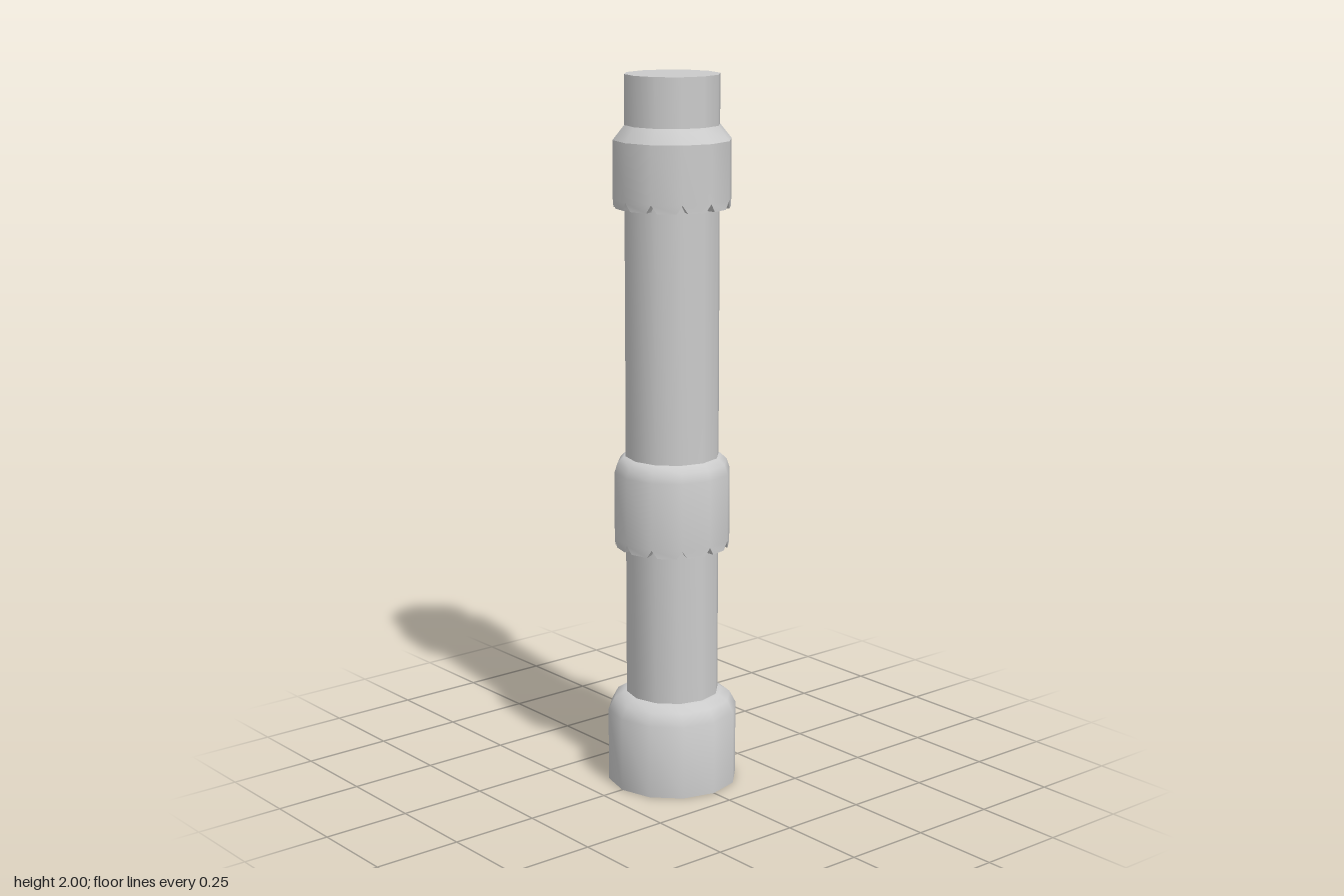
import * as THREE from 'three';
import { mergeGeometries, toCreasedNormals } from 'three/addons/utils/BufferGeometryUtils.js';

const SIDES = 12;
const POLE_R = 0.131;
const COLLAR_R = 0.163;
const material = new THREE.MeshStandardMaterial({ color: 0xcccccc });

// Twelve-sided turned shape; the profile runs from bottom to top as [radius, y].
function turned(profile) {
  const points = profile.map(([r, y]) => new THREE.Vector2(r, y));
  const geometry = new THREE.LatheGeometry(points, SIDES).toNonIndexed();
  geometry.deleteAttribute('uv');
  geometry.deleteAttribute('normal');
  return geometry;
}

function part(name, geometry, crease) {
  const mesh = new THREE.Mesh(toCreasedNormals(geometry, crease), material);
  mesh.name = name;
  return mesh;
}

// Ring of tapered teeth, one per side, leaving V-shaped notches at the corners.
function teeth(bottom, top) {
  const positions = [];
  const quad = (a, b, c, d) => {
    for (const p of [a, b, c, a, c, d]) positions.push(p.x, p.y, p.z);
  };
  const corner = (i, r, y) => {
    const angle = (i / SIDES) * Math.PI * 2;
    return new THREE.Vector3(Math.sin(angle) * r, y, Math.cos(angle) * r);
  };
  for (let i = 0; i < SIDES; i++) {
    const row = (r) => {
      const low0 = corner(i, r, bottom), low1 = corner(i + 1, r, bottom);
      return [
        corner(i, r, top), low0.clone().lerp(low1, 0.19),
        low0.clone().lerp(low1, 0.81), corner(i + 1, r, top),
      ];
    };
    const outer = row(COLLAR_R), inner = row(POLE_R - 0.005);
    quad(outer[0], outer[1], outer[2], outer[3]);
    for (let k = 0; k < 3; k++) quad(outer[k], inner[k], inner[k + 1], outer[k + 1]);
  }
  const geometry = new THREE.BufferGeometry();
  geometry.setAttribute('position', new THREE.Float32BufferAttribute(positions, 3));
  return geometry;
}

// Collar: toothed lower rim, straight wall and a shaped shoulder.
function collar(name, bottom, shoulder, crease) {
  const rim = bottom + 0.023;
  const wall = turned([[COLLAR_R, rim], ...shoulder]);
  return part(name, mergeGeometries([wall, teeth(bottom, rim)]), crease);
}

export function createModel() {
  const group = new THREE.Group();
  group.name = 'pole';

  // Main shaft
  group.add(part('shaft', turned([[0, 0.1], [POLE_R, 0.1], [POLE_R, 2], [0, 2]]), 0.6));

  // Foot with rounded shoulder
  group.add(part('foot', turned([
    [0, 0], [0.184, 0], [0.184, 0.21], [0.166, 0.244], [0.14, 0.26], [POLE_R - 0.003, 0.262],
  ]), 0.7));

  // Middle collar with rounded shoulder
  group.add(collar('middleCollar', 0.692, [
    [COLLAR_R, 0.905], [0.154, 0.932], [0.137, 0.948], [POLE_R - 0.003, 0.95],
  ], 0.7));

  // Upper collar with a straight bevel
  group.add(collar('upperCollar', 1.643, [
    [COLLAR_R, 1.825], [POLE_R - 0.001, 1.866],
  ], 0.6));

  return group;
}
